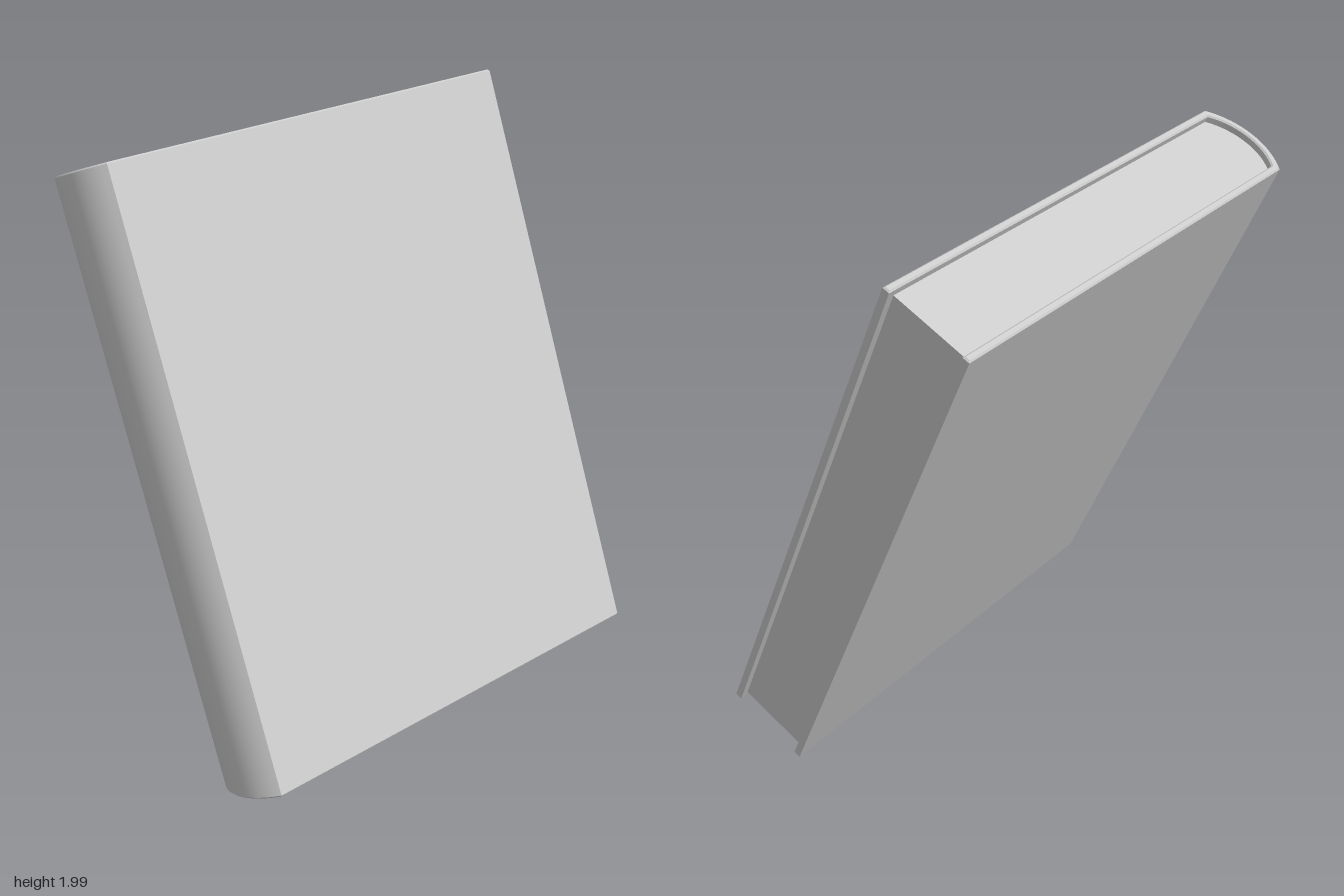
import * as THREE from 'three';
import { toCreasedNormals } from 'three/addons/utils/BufferGeometryUtils.js';

const WIDTH = 0.317, HEIGHT = 2.0, DEPTH = 1.55; // thickness, height, flat cover depth
const BULGE = 0.06;   // how far the rounded spine swells forward
const BOARD = 0.025;  // cover board thickness
const INSET = 0.025;  // pages set back from the cover edges
const BACK = -DEPTH / 2, FRONT = DEPTH / 2;

// Points of the rounded spine from -halfWidth to +halfWidth
function spineArc(halfWidth, bulge, z, steps = 18) {
  const r = (halfWidth ** 2 + bulge ** 2) / (2 * bulge);
  const half = Math.asin(halfWidth / r);
  return Array.from({ length: steps + 1 }, (_, i) => {
    const a = -half + (2 * half * i) / steps;
    return new THREE.Vector2(r * Math.sin(a), z + bulge - r + r * Math.cos(a));
  });
}

// Extrude an x-z outline into an upright solid centred on y = 0
function upright(points, height, bevel) {
  const g = new THREE.ExtrudeGeometry(new THREE.Shape(points), {
    depth: height - 2 * bevel,
    bevelEnabled: bevel > 0,
    bevelSize: bevel,
    bevelThickness: bevel,
    bevelOffset: -bevel,
    bevelSegments: 1,
  });
  g.rotateX(Math.PI / 2);
  g.translate(0, height / 2 - bevel, 0);
  return toCreasedNormals(g, 0.5);
}

export function createModel() {
  const material = new THREE.MeshStandardMaterial({ color: 0xcccccc });
  const w = WIDTH / 2, inner = w - BOARD;
  const innerArc = () => spineArc(inner, BULGE - 0.01, FRONT - 0.015);

  // Cover: two boards joined by the rounded spine, one U-shaped section
  const cover = new THREE.Mesh(upright([
    new THREE.Vector2(-w, BACK),
    ...spineArc(w, BULGE, FRONT),
    new THREE.Vector2(w, BACK),
    new THREE.Vector2(inner, BACK),
    ...innerArc().reverse(),
    new THREE.Vector2(-inner, BACK),
  ], HEIGHT, 0.005), material);
  cover.name = 'cover';

  // Page block, filling the cover and set back on three sides
  const pages = new THREE.Mesh(upright([
    new THREE.Vector2(-inner, BACK + INSET),
    ...innerArc(),
    new THREE.Vector2(inner, BACK + INSET),
  ], HEIGHT - 2 * INSET, 0), material);
  pages.name = 'pages';

  // Leaning pose
  const book = new THREE.Group();
  book.name = 'book';
  book.add(cover, pages);
  book.rotation.set(-0.029, 0, 0.42, 'ZYX');

  const model = new THREE.Group();
  model.name = 'leaningBook';
  model.add(book);

  // Centre on x and z, rest on the floor
  model.updateMatrixWorld(true);
  const box = new THREE.Box3().setFromObject(model, true);
  const c = box.getCenter(new THREE.Vector3());
  book.position.set(-c.x, -box.min.y, -c.z);
  return model;
}
